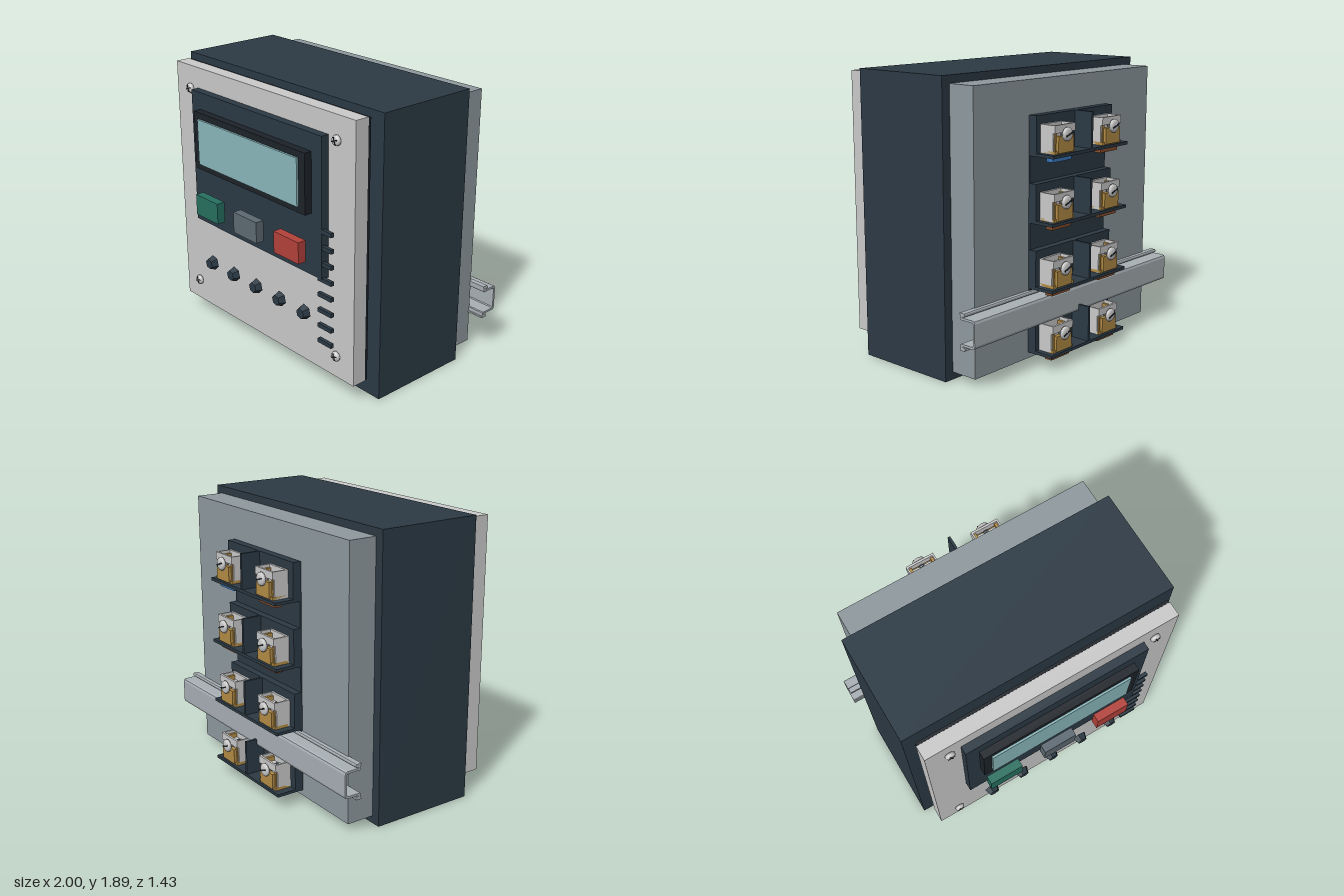
import * as THREE from 'three';

const mat = (color) => new THREE.MeshStandardMaterial({ color });
const M = {
  navy: mat(0x2c3a45), black: mat(0x1d2329), plate: mat(0xc9c9c5), grey: mat(0x8f9a9f),
  steel: mat(0xc2c4c4), rail: mat(0xa9b1b6), brass: mat(0xb58d45), screen: mat(0x8bb8bd),
  green: mat(0x277060), slate: mat(0x5d6a73), red: mat(0xb5423b), blue: mat(0x3a78bd), brown: mat(0x8a4f2c),
};

function add(parent, name, geometry, material, x = 0, y = 0, z = 0) {
  const mesh = new THREE.Mesh(geometry, material);
  mesh.name = name;
  mesh.position.set(x, y, z);
  parent.add(mesh);
  return mesh;
}

// Box given by its limits on each axis
function box(parent, name, material, [x0, x1], [y0, y1], [z0, z1]) {
  return add(parent, name, new THREE.BoxGeometry(x1 - x0, y1 - y0, z1 - z0), material,
    (x0 + x1) / 2, (y0 + y1) / 2, (z0 + z1) / 2);
}

// Domed screw head facing +z, with a cross or a single slot
function screw(name, r, h, cross) {
  const g = new THREE.Group();
  g.name = name;
  const pts = [[0, h], [r * 0.6, h * 0.95], [r * 0.9, h * 0.75], [r, h * 0.45], [r, 0], [0, 0]]
    .map(([a, b]) => new THREE.Vector2(a, b)).reverse();
  add(g, 'screwHead', new THREE.LatheGeometry(pts, 20).rotateX(Math.PI / 2), M.steel);
  for (let i = 0; i < (cross ? 2 : 1); i++) {
    const slot = add(g, 'screwSlot', new THREE.BoxGeometry(r * 1.5, r * 0.22, 0.004), M.black, 0, 0, h);
    slot.rotation.z = 0.35 + i * Math.PI / 2;
  }
  return g;
}

// Wire clamp: open steel cage, brass lining and a threaded screw; local y = 0 is the shelf
function clamp() {
  const g = new THREE.Group();
  g.name = 'wireClamp';
  box(g, 'cageBack', M.steel, [-0.1, 0.1], [0, 0.18], [-0.58, -0.565]);
  box(g, 'cageFloor', M.brass, [-0.1, 0.1], [0, 0.02], [-0.68, -0.57]);
  for (const s of [-1, 1]) {
    add(g, 'cageSide', new THREE.BoxGeometry(0.012, 0.18, 0.1), M.steel, s * 0.094, 0.09, -0.615);
    add(g, 'brassCheek', new THREE.BoxGeometry(0.018, 0.16, 0.105), M.brass, s * 0.078, 0.08, -0.618);
  }
  box(g, 'innerBlock', M.steel, [-0.068, 0.068], [0.02, 0.13], [-0.66, -0.58]);
  box(g, 'brassFront', M.brass, [-0.075, 0.075], [0.005, 0.11], [-0.69, -0.665]);
  box(g, 'cageLip', M.steel, [-0.1, 0.1], [0.13, 0.18], [-0.68, -0.665]);
  add(g, 'screwShaft', new THREE.CylinderGeometry(0.018, 0.018, 0.12, 12).rotateX(Math.PI / 2), M.steel, 0, 0.12, -0.635);
  for (let i = 0; i < 5; i++) {
    add(g, 'screwThread', new THREE.TorusGeometry(0.02, 0.004, 6, 14), M.slate, 0, 0.12, -0.6 - i * 0.015);
  }
  const head = screw('clampScrew', 0.044, 0.026, false);
  head.position.set(0, 0.12, -0.69);
  head.rotation.y = Math.PI;
  g.add(head);
  return g;
}

// Top-hat rail along x
function rail() {
  const half = [[0.495, 0.118], [0.495, 0.096], [0.5, 0.09], [0.535, 0.09], [0.535, 0.075], [0.52, 0.075],
    [0.515, 0.07]];
  const shape = new THREE.Shape();
  // Outer skin from the top flange to the bottom one, then back along the inside
  const outer = [[0.495, 0.118], [0.532, 0.118], [0.536, 0.112], [0.536, 0.1], [0.53, 0.095], [0.515, 0.095],
    [0.515, 0.09], [0.6, 0.09], [0.613, 0.085], [0.618, 0.07]];
  const inner = [[0.603, 0.068], [0.598, 0.075], [0.505, 0.075], [0.5, 0.08], [0.5, 0.105], [0.495, 0.108]];
  const flip = (list) => list.map(([u, v]) => [u, -v]).reverse();
  const loop = [...outer, ...flip(outer), ...flip(inner), ...inner];
  // The lower inside runs flange to web, the upper one web to flange
  shape.setFromPoints(loop.map(([u, v]) => new THREE.Vector2(u, v)));
  return new THREE.ExtrudeGeometry(shape, { depth: 2, bevelEnabled: false })
    .translate(0, 0, -1).rotateY(Math.PI / 2);
}

export function createModel() {
  const model = new THREE.Group();
  model.name = 'controlUnit';

  // Housing, back plate, gasket and front plate
  box(model, 'housing', M.navy, [-0.943, 0.943], [0, 1.895], [-0.313, 0.415]);
  box(model, 'backPlate', M.grey, [-0.88, 0.88], [0.05, 1.845], [-0.505, -0.313]);
  box(model, 'gasket', M.black, [-0.875, 0.875], [0.135, 1.865], [0.455, 0.474]);
  box(model, 'frontPlate', M.plate, [-0.88, 0.877], [0.13, 1.87], [0.476, 0.575]);

  // Display
  box(model, 'displayPanel', M.navy, [-0.645, 0.645], [0.805, 1.73], [0.57, 0.63]);
  box(model, 'displayBezel', M.black, [-0.555, 0.555], [1.218, 1.615], [0.63, 0.683]);
  box(model, 'screen', M.screen, [-0.5, 0.497], [1.26, 1.572], [0.675, 0.697]);

  // Push buttons
  [M.green, M.slate, M.red].forEach((m, i) => {
    const x = (i - 1) * 0.41;
    box(model, 'pushButton', m, [x - 0.118, x + 0.118], [0.895, 1.04], [0.657, 0.716]);
  });

  // Small faceted knobs
  for (let i = 0; i < 5; i++) {
    const geo = new THREE.CylinderGeometry(0.036, 0.052, 0.045, 6).rotateX(Math.PI / 2).toNonIndexed();
    geo.computeVertexNormals();
    add(model, 'knob', geo, M.navy, (i - 2) * 0.241, 0.52, 0.647).rotation.z = 0.25;
  }

  // Vent ribs beside the display
  for (let i = 0; i < 8; i++) {
    const y = 1.125 - i * 0.108;
    box(model, 'ventRib', M.navy, [0.605, 0.727], [y - 0.014, y + 0.014], [0.604, 0.629]);
  }

  // Front plate screws
  for (const x of [-0.724, 0.724]) {
    for (const y of [0.285, 1.715]) {
      const s = screw('plateScrew', 0.033, 0.028, true);
      s.position.set(x, y, 0.575);
      model.add(s);
    }
  }

  // Terminal block: four rows of two clamps
  const terminals = new THREE.Group();
  terminals.name = 'terminalBlock';
  model.add(terminals);
  box(terminals, 'terminalBase', M.navy, [-0.388, 0.385], [0.09, 1.625], [-0.515, -0.505]);
  for (let row = 0; row < 4; row++) {
    const y = 0.09 + row * 0.4275;
    box(terminals, 'rowBack', M.navy, [-0.388, 0.385], [y, y + 0.255], [-0.565, -0.51]);
    box(terminals, 'rowShelf', M.navy, [-0.388, 0.385], [y, y + 0.02], [-0.7, -0.56]);
    box(terminals, 'rowDivider', M.navy, [-0.01, 0.008], [y, y + 0.255], [-0.7, -0.56]);
    for (const x of [-0.235, 0.247]) {
      const c = clamp();
      c.position.set(x, y + 0.02, 0);
      terminals.add(c);
      // Coloured marker tab below the shelf
      const tab = row === 3 && x > 0 ? M.blue : M.brown;
      box(terminals, 'markerTab', tab, [x - 0.09, x + 0.09], [y - 0.032, y], [-0.66, -0.605]);
    }
  }

  // Mounting rail
  add(model, 'mountingRail', rail(), M.rail, 0, 0.388, 0);

  return model;
}
